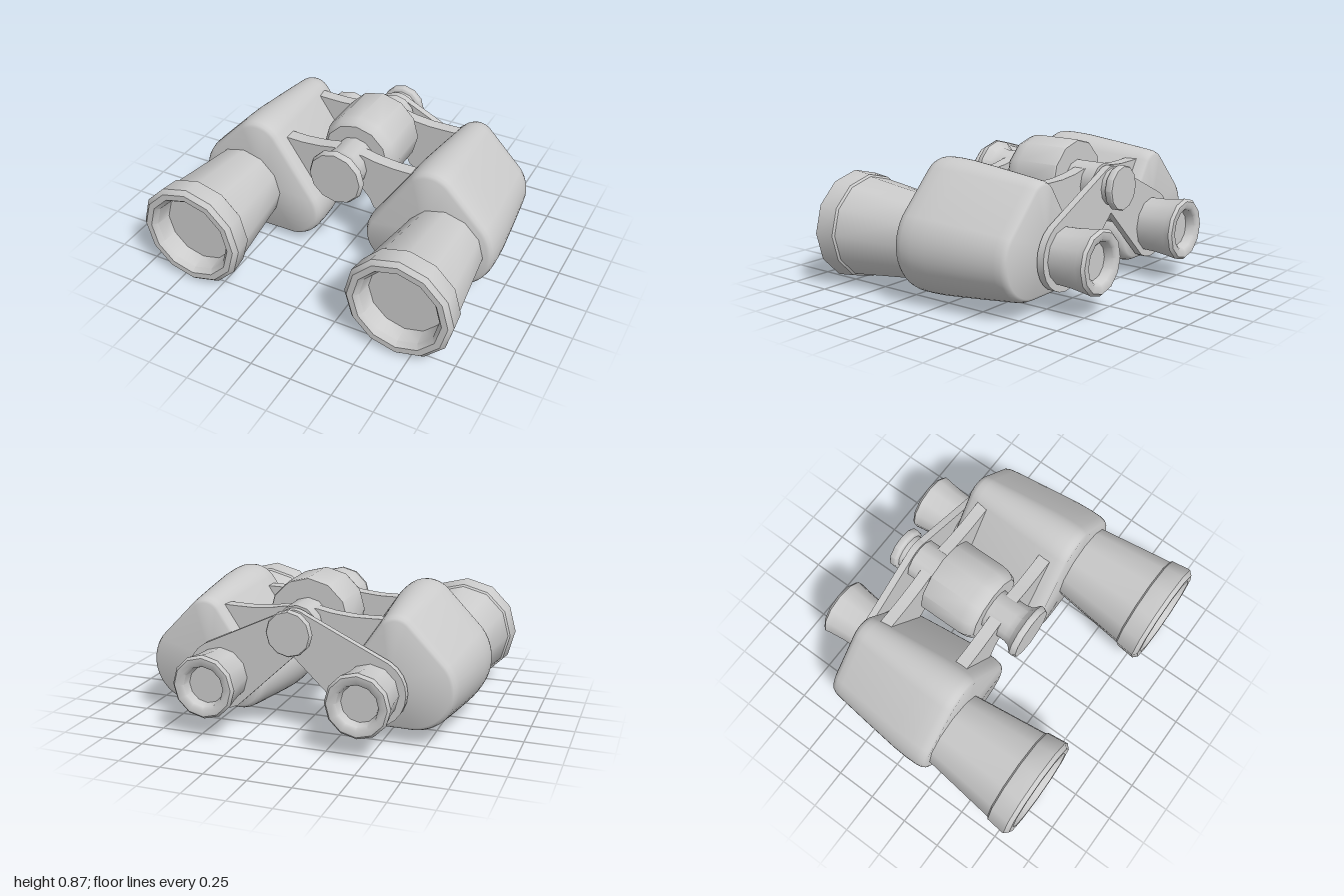
import * as THREE from 'three';
import { toCreasedNormals } from 'three/addons/utils/BufferGeometryUtils.js';

const material = new THREE.MeshStandardMaterial({ color: 0xcccccc });
const HUB_Y = 0.628;

function part(name, geometry, crease = 0.7) {
  const mesh = new THREE.Mesh(toCreasedNormals(geometry, crease), material);
  mesh.name = name;
  return mesh;
}

// Turned part along z; profile is [radius, z] from rear to front
function turned(name, x, y, profile) {
  const points = profile.map(([r, z]) => new THREE.Vector2(r, z));
  const geometry = new THREE.LatheGeometry(points, 12).rotateX(Math.PI / 2);
  const mesh = part(name, geometry);
  mesh.position.set(x, y, 0);
  return mesh;
}

// Outline wrapped tightly around circles [x, y, radius], counter-clockwise
function wrap(circles, count, inset = 0) {
  return Array.from({ length: count }, (_, i) => {
    const a = (i / count) * Math.PI * 2;
    const nx = Math.cos(a), ny = Math.sin(a);
    let best = null, reach = -Infinity;
    for (const [x, y, r] of circles) {
      const d = x * nx + y * ny + r;
      if (d > reach) {
        reach = d;
        best = new THREE.Vector2(x + (r - inset) * nx, y + (r - inset) * ny);
      }
    }
    return best;
  });
}

// Flat plate from an outline, between two z values
function plate(name, points, z0, z1) {
  const geometry = new THREE.ExtrudeGeometry(new THREE.Shape(points), {
    depth: z1 - z0, bevelEnabled: false,
  });
  return part(name, geometry.translate(0, 0, z0), 0.6);
}

// Prism housing: rounded three-cornered section, tapering to the rear
function housing(side) {
  const N = 48;
  const circles = [[0.57, 0.63, 0.17], [0.37, 0.25, 0.215], [0.67, 0.337, 0.303]]
    .map(([x, y, r]) => [x * side, y, r]);
  const rings = [
    [-0.533, 0.085], [-0.525, 0.07], [-0.5, 0.059], [-0.46, 0.053], [-0.25, 0.029],
    [-0.02, 0.005], [0.08, 0], [0.15, 0.001], [0.18, 0.007], [0.2, 0.018], [0.21, 0.035],
  ];
  const positions = [], index = [];
  for (const [z, inset] of rings) {
    for (const p of wrap(circles, N, inset)) positions.push(p.x, p.y, z);
  }
  const back = rings.length * N, front = back + 1, last = (rings.length - 1) * N;
  positions.push(0.54 * side, 0.38, rings[0][0], 0.54 * side, 0.38, 0.21);
  for (let j = 0; j < N; j++) {
    const k = (j + 1) % N;
    for (let i = 0; i < rings.length - 1; i++) {
      const a = i * N + j, b = i * N + k;
      index.push(a, b, b + N, a, b + N, a + N);
    }
    index.push(back, k, j, front, last + j, last + k);
  }
  const geometry = new THREE.BufferGeometry();
  geometry.setAttribute('position', new THREE.Float32BufferAttribute(positions, 3));
  geometry.setIndex(index);
  return part('prismHousing', geometry, 0.8);
}

function createHalf(side) {
  const half = new THREE.Group();
  half.name = side > 0 ? 'leftHalf' : 'rightHalf';
  half.add(housing(side));

  // Objective barrel with hood and recessed lens
  half.add(turned('objectiveBarrel', 0.67 * side, 0.332, [
    [0, 0.18], [0.242, 0.18], [0.246, 0.22], [0.302, 0.675], [0.314, 0.685],
    [0.327, 0.8], [0.327, 0.805], [0.302, 0.83], [0.265, 0.83], [0.24, 0.8], [0.226, 0.71], [0, 0.71],
  ]));

  // Flared eyepiece with recessed lens
  half.add(turned('eyepiece', 0.45 * side, 0.315, [
    [0, -0.77], [0.108, -0.77], [0.12, -0.82], [0.135, -0.832], [0.172, -0.832],
    [0.187, -0.815], [0.18, -0.775], [0.168, -0.68], [0.164, -0.58], [0.164, -0.5], [0, -0.5],
  ]));

  // Arm carrying the eyepiece
  half.add(plate('eyepieceArm',
    wrap([[0.45 * side, 0.315, 0.203], [0, HUB_Y, 0.115]], 24), -0.588, -0.545));

  // Webs joining the housing to the hinge
  const web = [
    [0, 0.73], [0.1, 0.723], [0.18, 0.707], [0.3, 0.696], [0.41, 0.697], [0.5, 0.7],
    [0.5, 0.5], [0.25, 0.34], [0.175, 0.38], [0.145, 0.44], [0.1, 0.49], [0, 0.53],
  ].map(([x, y]) => new THREE.Vector2(x * side, y));
  half.add(plate('frontWeb', web, 0.042, 0.12));
  half.add(plate('rearWeb', web, -0.458, -0.385));
  return half;
}

export function createModel() {
  const model = new THREE.Group();
  model.name = 'binoculars';
  for (const side of [1, -1]) model.add(createHalf(side));

  // Central hinge, with flared cap at the front
  model.add(turned('hingeRod', 0, HUB_Y, [
    [0, -0.535], [0.127, -0.535], [0.127, 0.17], [0.137, 0.21],
    [0.174, 0.245], [0.174, 0.26], [0.162, 0.282], [0, 0.282],
  ]));
  // Focus drum
  model.add(turned('focusDrum', 0, HUB_Y, [
    [0, -0.35], [0.238, -0.35], [0.243, -0.343], [0.243, -0.08],
    [0.238, -0.04], [0.225, -0.008], [0.205, 0.012], [0, 0.012],
  ]));
  // Adjusting knob at the rear
  model.add(turned('rearKnob', 0, HUB_Y - 0.004, [
    [0, -0.672], [0.126, -0.672], [0.132, -0.665], [0.132, -0.635],
    [0.126, -0.626], [0.108, -0.62], [0.108, -0.53], [0, -0.53],
  ]));
  return model;
}
